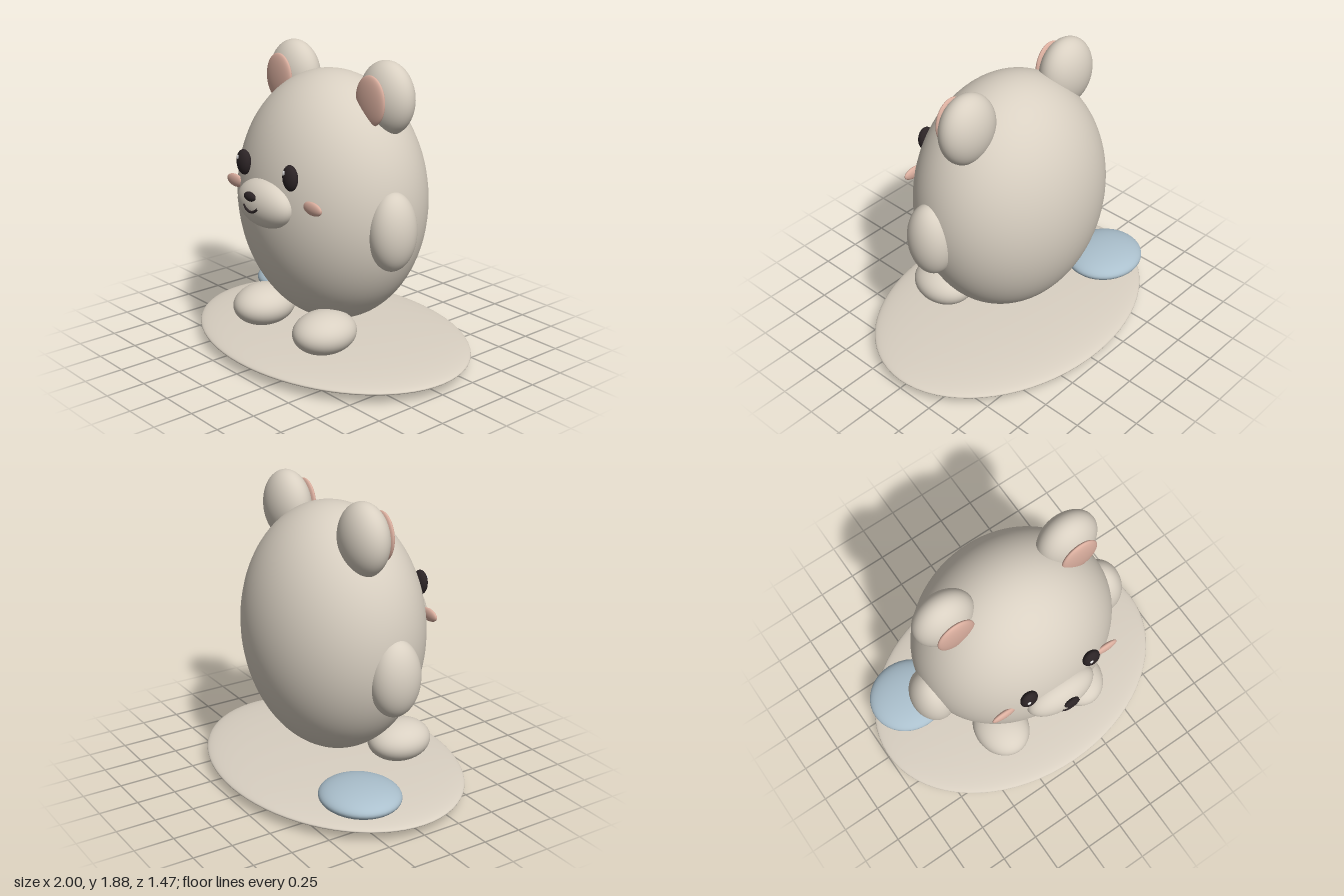
import * as THREE from 'three';

const mat = (name, color) => {
  const m = new THREE.MeshStandardMaterial({ color });
  m.name = name;
  return m;
};

export function createModel() {
  const model = new THREE.Group();
  const cream = mat('cream', 0xd9d0c2);
  const pink = mat('pink', 0xdbaf9f);
  const dark = mat('dark brown', 0x2c2426);
  const blue = mat('pale blue', 0xabc0cd);
  const white = mat('white', 0xffffff);

  // Smooth ellipsoid: centre and radii per axis
  const blob = (name, material, [x, y, z], [rx, ry, rz], detail = 40) => {
    const geometry = new THREE.SphereGeometry(1, detail, Math.round(detail * 0.7));
    geometry.scale(rx, ry, rz);
    const mesh = new THREE.Mesh(geometry, material);
    mesh.name = name;
    mesh.position.set(x, y, z);
    model.add(mesh);
    return mesh;
  };

  // Ground disc and the cushion beside the bear
  blob('base', cream, [0, 0.07, 0], [1, 0.069, 0.735], 72);
  blob('cushion', blue, [-0.673, 0.185, -0.235], [0.263, 0.08, 0.243]);

  // Egg-shaped body and head in one
  blob('body', cream, [0, 0.985, 0], [0.65, 0.785, 0.536], 72);

  // Paired parts
  for (const [side, s] of [['left', 1], ['right', -1]]) {
    blob(side + 'Ear', cream, [0.424 * s, 1.66, -0.06], [0.195, 0.221, 0.133]);
    blob(side + 'InnerEar', pink, [0.422 * s, 1.66, 0.068], [0.122, 0.15, 0.03]);
    blob(side + 'Foot', cream, [0.297 * s, 0.252, 0.308], [0.177, 0.13, 0.208]);
    blob(side + 'Eye', dark, [0.222 * s, 1.237, 0.5], [0.057, 0.078, 0.037], 28);
    blob(side + 'EyeHighlight', white, [0.222 * s - 0.019, 1.267, 0.53], [0.012, 0.015, 0.007], 14);
    blob(side + 'Cheek', pink, [0.37 * s, 1.08, 0.458], [0.082, 0.04, 0.02], 28);
  }

  // Arms, one held a little higher
  blob('leftArm', cream, [0.62, 0.92, 0.065], [0.135, 0.241, 0.155]);
  blob('rightArm', cream, [-0.617, 0.848, 0.04], [0.138, 0.243, 0.163]);

  // Muzzle, nose and smile
  blob('muzzle', cream, [0, 1.035, 0.508], [0.232, 0.146, 0.118]);
  blob('nose', dark, [0, 1.099, 0.626], [0.05, 0.029, 0.021], 28);
  const smile = new THREE.CatmullRomCurve3([
    [-0.064, 1.036, 0.619], [-0.036, 1.014, 0.625], [0, 1.006, 0.627],
    [0.036, 1.014, 0.625], [0.064, 1.036, 0.619],
  ].map((p) => new THREE.Vector3(...p)));
  const mouth = new THREE.Mesh(new THREE.TubeGeometry(smile, 24, 0.008, 8), dark);
  mouth.name = 'mouth';
  model.add(mouth);

  return model;
}
